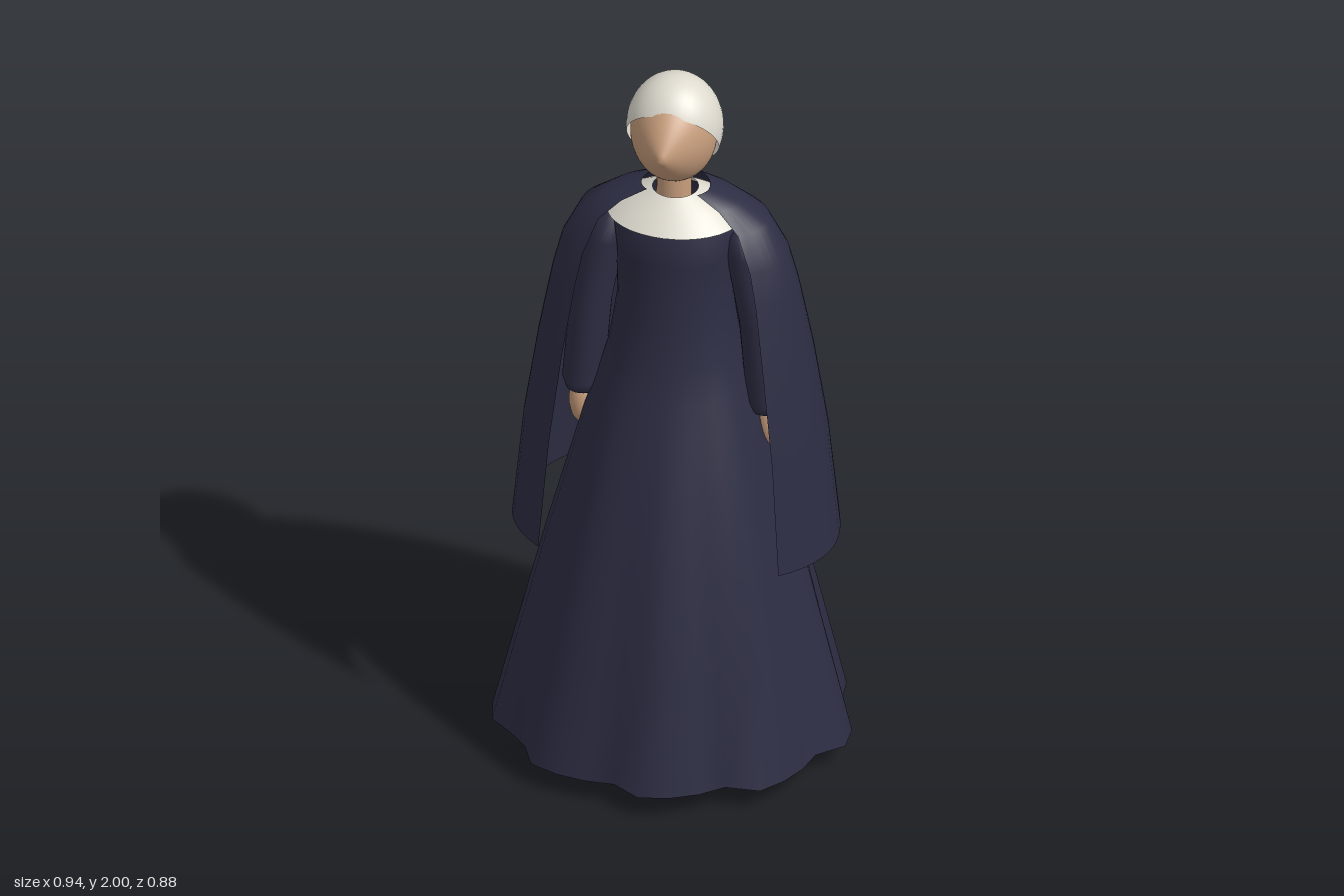
import * as THREE from 'three';
import { mergeVertices } from 'three/addons/utils/BufferGeometryUtils.js';

const mat = (name, color, side = THREE.FrontSide) => {
  const m = new THREE.MeshStandardMaterial({ color, side });
  m.name = name;
  return m;
};

// Surface lofted upward through rings; point(row, angle) gives [x, y, z], angle runs from +z to +x
function loft(rows, point, n = 36, start = 0, end = Math.PI * 2) {
  const closed = end - start > 6.28;
  const cols = closed ? n : n + 1;
  const pos = [], idx = [];
  rows.forEach((row) => {
    for (let j = 0; j < cols; j++) pos.push(...point(row, start + ((end - start) * j) / n, j));
  });
  for (let i = 0; i < rows.length - 1; i++) {
    for (let j = 0; j < n; j++) {
      const a = i * cols + j, b = i * cols + ((j + 1) % cols);
      idx.push(a, b, b + cols, a, b + cols, a + cols);
    }
  }
  const g = new THREE.BufferGeometry();
  g.setAttribute('position', new THREE.Float32BufferAttribute(pos, 3));
  g.setIndex(idx);
  g.computeVertexNormals();
  return g;
}

// Row: [y, half width, back depth, front depth]
const oval = ([y, rx, rb, rf = rb], a) =>
  [rx * Math.sin(a), y, (Math.cos(a) > 0 ? rf : rb) * Math.cos(a)];

export function createModel() {
  const model = new THREE.Group();
  const cloth = mat('navy cloth', 0x2d2d44, THREE.DoubleSide);
  const white = mat('off-white', 0xdedacf, THREE.DoubleSide);
  const skin = mat('skin', 0xc79d7c);

  const add = (name, geometry, material, x = 0, y = 0, z = 0) => {
    const mesh = new THREE.Mesh(geometry, material);
    mesh.name = name;
    mesh.position.set(x, y, z);
    model.add(mesh);
    return mesh;
  };

  // Dress: smooth bodice easing into an uneven, pleated hem (radius every 10 degrees)
  const hem = [
    .44, .432, .418, .4, .453, .449, .44, .427, .476, .47, .445, .435,
    .461, .466, .425, .422, .43, .452, .41, .422, .436, .46, .425, .442,
    .465, .49, .451, .458, .476, .479, .443, .432, .46, .442, .42, .398];
  const dressRows = [ // y, half width, depth, pleat share
    [.06, .47, .44, 1], [.35, .40, .38, .85], [.64, .33, .315, .65], [.85, .275, .255, .45],
    [1.0, .235, .21, .3], [1.1, .203, .175, .15], [1.2, .175, .15, .05], [1.35, .152, .13, 0],
    [1.5, .155, .13, 0], [1.6, .165, .135, 0], [1.64, .11, .09, 0]];
  add('dress', loft(dressRows, ([y, rx, rz, share], a, j) => {
    const pleat = 1 + share * (hem[j] / Math.hypot(.47 * Math.sin(a), .44 * Math.cos(a)) - 1);
    return [rx * pleat * Math.sin(a), y, rz * pleat * Math.cos(a)];
  }), cloth);

  // Cape, open at the front
  const capeRows = [
    [.64, .43, .405, .3], [.95, .4, .355, .26], [1.2, .362, .305, .225], [1.4, .325, .245, .18],
    [1.5, .3, .21, .16], [1.6, .25, .16, .13], [1.65, .175, .12, .095], [1.68, .09, .09, .06]];
  const open = THREE.MathUtils.degToRad(48);
  add('cape', loft(capeRows, oval, 40, open, Math.PI * 2 - open), cloth);

  // Collar and neck
  add('collar', loft([[1.6, .18, .142], [1.64, .135, .105], [1.675, .06, .058]], oval), white);
  add('neck', new THREE.CylinderGeometry(.045, .047, .14, 24), skin, -.005, 1.68, -.005);

  // Head: ellipsoid whose front is drawn out to a soft point
  const head = new THREE.SphereGeometry(1, 40, 28).rotateX(Math.PI / 2);
  const p = head.attributes.position;
  for (let i = 0; i < p.count; i++) {
    const x = p.getX(i), y = p.getY(i), z = p.getZ(i);
    const depth = z > 0 ? .155 * (.5 * z + .5 * (1 - Math.hypot(x, y))) : .12 * z;
    p.setXYZ(i, x * .114, y * .143, depth);
  }
  head.deleteAttribute('uv');
  head.deleteAttribute('normal');
  const face = mergeVertices(head, 1e-5);
  face.computeVertexNormals();
  add('head', face, skin, -.005, 1.843, 0);

  // Hair: cap tilted to the back of the head
  const cap = new THREE.SphereGeometry(1, 40, 24, 0, Math.PI * 2, 0, THREE.MathUtils.degToRad(106));
  cap.rotateX(-THREE.MathUtils.degToRad(51)).scale(.127, .15, .125);
  add('hair', cap, white, -.006, 1.85, -.02);

  // Sleeves, hands, legs and shoes; limb row: [y, half width, depth, centre x]
  const sleeveRows = [
    [1.02, .025, .03, .245], [1.03, .046, .05, .245], [1.06, .055, .06, .245], [1.3, .055, .06, .225],
    [1.5, .055, .06, .19], [1.56, .04, .045, .175], [1.58, .005, .005, .17]];
  const legRows = [[.04, .04, .045, .1], [.14, .045, .05, .1], [.35, .06, .065, .1], [.8, .07, .08, .09]];
  for (const side of [1, -1]) {
    const word = side > 0 ? 'left' : 'right';
    const limb = ([y, rx, rz, cx], a) => [side * cx + rx * Math.sin(a), y, rz * Math.cos(a)];
    add(word + 'Sleeve', loft(sleeveRows, limb, 24), cloth);
    add(word + 'Hand', new THREE.SphereGeometry(1, 20, 14).scale(.033, .07, .035), skin, side * .25, .985, 0);
    add(word + 'Leg', loft(legRows, limb, 24), cloth);
    add(word + 'Shoe', new THREE.SphereGeometry(1, 24, 16).scale(.049, .048, .105), cloth, side * .1, .048, .037);
  }
  return model;
}
